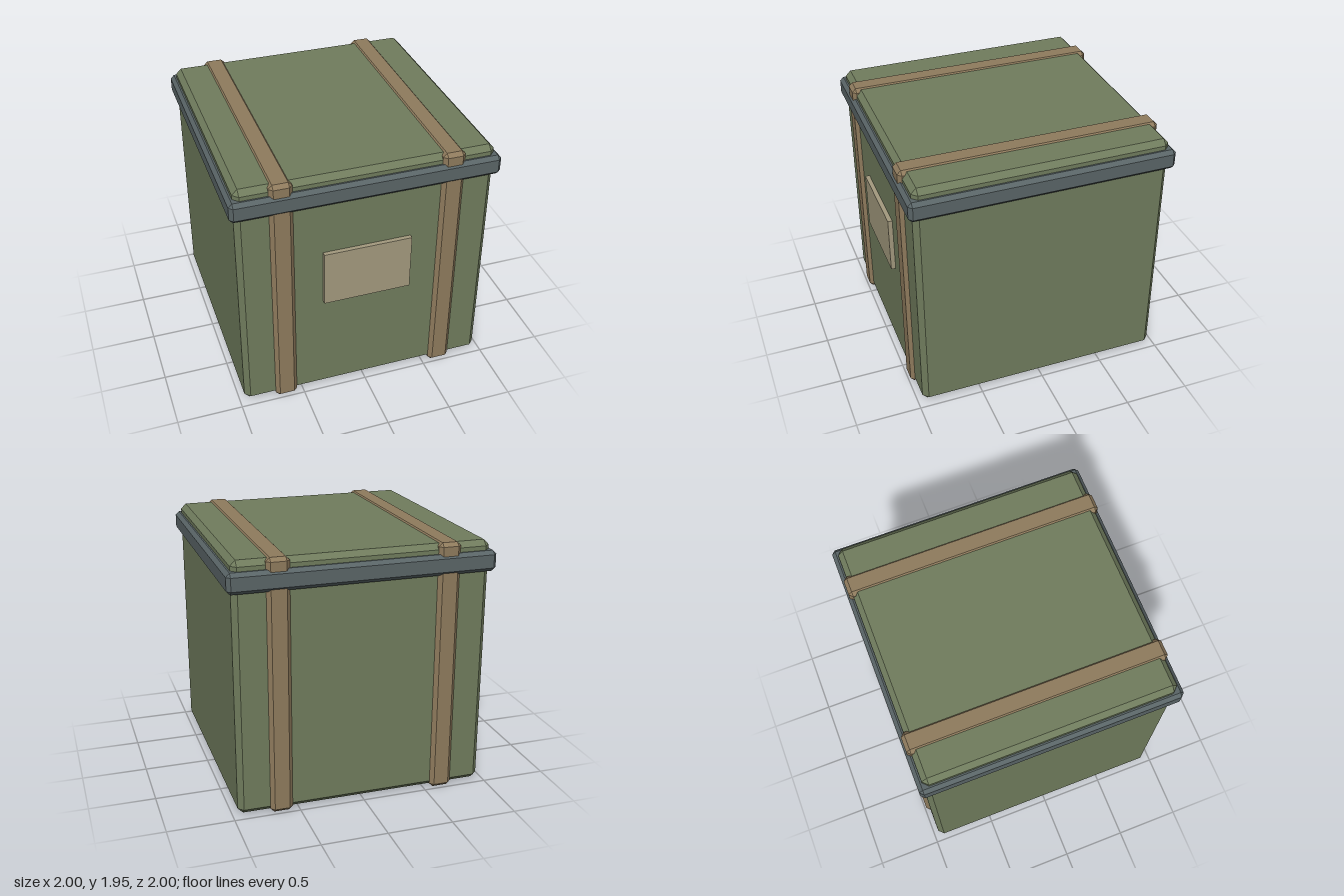
import * as THREE from 'three';
import { ConvexGeometry } from 'three/addons/geometries/ConvexGeometry.js';

// Box with every edge cut by a flat chamfer c (24 corner points)
function chamferBox(w, h, d, c) {
  const half = [w / 2, h / 2, d / 2];
  const points = [];
  for (const sx of [-1, 1]) for (const sy of [-1, 1]) for (const sz of [-1, 1]) {
    for (let outer = 0; outer < 3; outer++) {
      const [x, y, z] = half.map((v, i) => (i === outer ? v : v - c));
      points.push(new THREE.Vector3(sx * x, sy * y, sz * z));
    }
  }
  return new ConvexGeometry(points);
}

export function createModel() {
  const paint = (name, color) => {
    const m = new THREE.MeshStandardMaterial({ color });
    m.name = name;
    return m;
  };
  const green = paint('olive green', 0x707c5d);
  const tan = paint('strap brown', 0x8f7b5d);
  const steel = paint('steel grey', 0x5a6567);
  const paper = paint('label beige', 0xa39a7e);

  const crate = new THREE.Group();
  crate.name = 'crate';
  const add = (name, geometry, material, x, y, z) => {
    const mesh = new THREE.Mesh(geometry, material);
    mesh.name = name;
    mesh.position.set(x, y, z);
    crate.add(mesh);
  };

  // Main body and the rim running around its top
  add('body', chamferBox(1.92, 1.925, 1.92, 0.04), green, 0, 0.9725, 0);
  add('rim', chamferBox(2, 0.155, 2, 0.028), steel, 0, 1.785, 0);

  // Two straps wrapping front, top, back and bottom
  const strap = chamferBox(0.17, 1.945, 1.976, 0.028);
  add('leftStrap', strap, tan, 0.635, 0.9725, 0);
  add('rightStrap', strap, tan, -0.635, 0.9725, 0);

  // Blank label plate on the front
  add('label', new THREE.BoxGeometry(0.67, 0.445, 0.04), paper, 0, 1.0725, 0.974);
  return crate;
}
